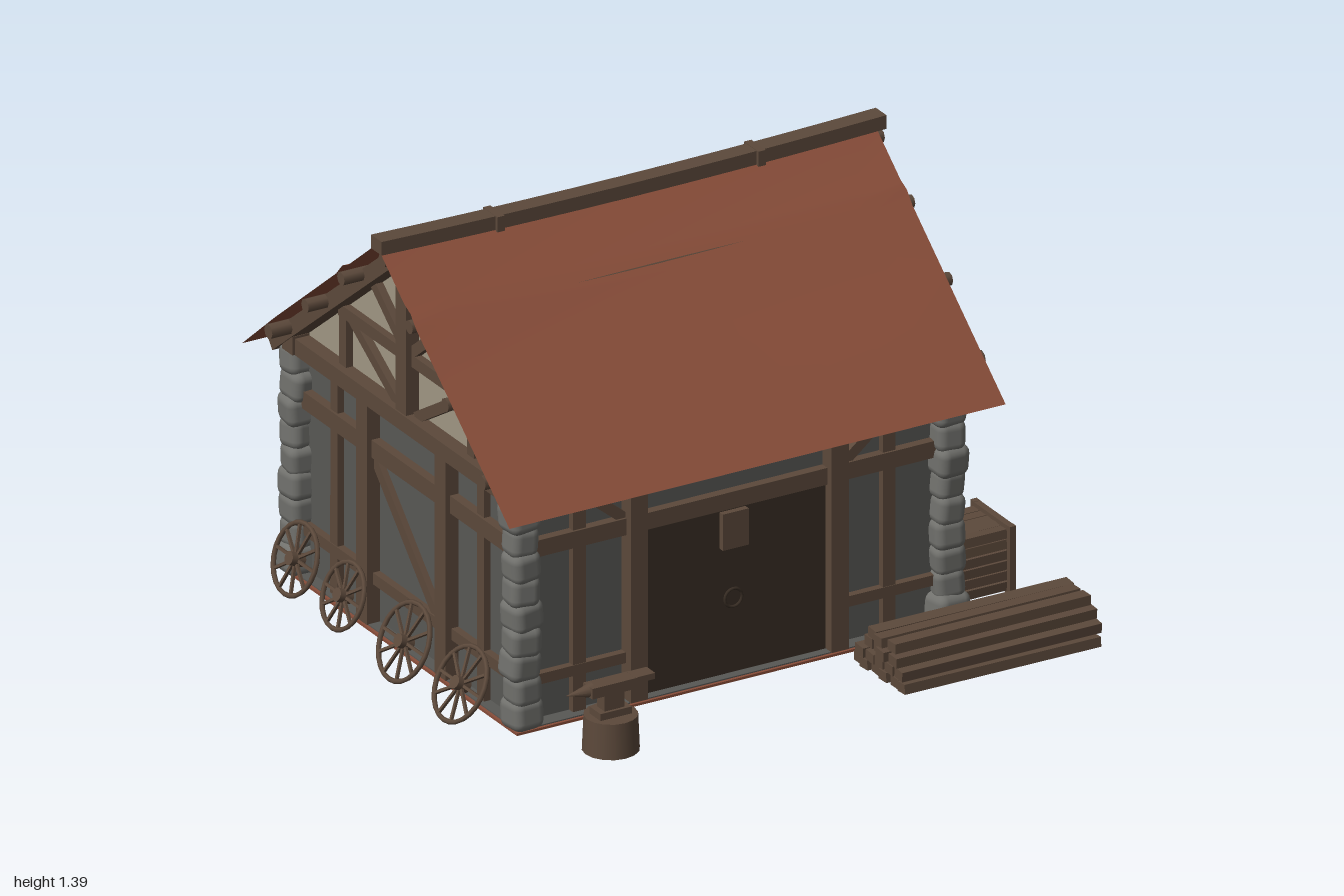
import * as THREE from 'three';
import { RoundedBoxGeometry } from 'three/addons/geometries/RoundedBoxGeometry.js';

const mat = (name, color, side = THREE.FrontSide) => {
  const m = new THREE.MeshStandardMaterial({ color, side });
  m.name = name;
  return m;
};
const V = (x, y, z) => new THREE.Vector3(x, y, z);

export function createModel() {
  const root = new THREE.Group();
  root.name = 'timberForge';
  const wood = mat('timber', 0x5c493b);
  const door = mat('darkDoorWood', 0x382d24);
  const stone = mat('cornerStone', 0x71716d);
  const wall = mat('wallStone', 0x585855);
  const plaster = mat('gablePlaster', 0xa09784);
  const tile = mat('roofTile', 0x884d39, THREE.DoubleSide);
  const patchMat = mat('roofPatch', 0x683c2d, THREE.DoubleSide);

  let seed = 7;
  const rnd = () => (seed = (seed * 16807) % 2147483647) / 2147483647;
  const jit = (a) => (rnd() - 0.5) * 2 * a;

  const add = (name, geo, m, x = 0, y = 0, z = 0, parent = root) => {
    const mesh = new THREE.Mesh(geo, m);
    mesh.name = name;
    mesh.position.set(x, y, z);
    parent.add(mesh);
    return mesh;
  };
  const box = (name, w, h, d, m, x, y, z, parent) => add(name, new THREE.BoxGeometry(w, h, d), m, x, y, z, parent);
  // Square timber running from a to b
  const beam = (name, a, b, w, h = w) => {
    const c = a.clone().add(b).multiplyScalar(0.5);
    box(name, w, h, a.distanceTo(b), wood, c.x, c.y, c.z).lookAt(b);
  };
  // Round timber along x
  const pole = (name, x0, x1, y, z, r) => {
    const g = new THREE.CylinderGeometry(r, r, x1 - x0, 8).rotateZ(Math.PI / 2);
    add(name, g, wood, (x0 + x1) / 2, y, z);
  };

  const XL = -0.79, XR = 0.66, ZF = 0.5, ZB = -0.77, ZR = -0.13;
  const xMid = (XL + XR) / 2, zMid = (ZF + ZB) / 2;
  // Height of the sagging roof at x, and at distance d from the ridge
  const roofY = (x, d) => 1.36 - (0.62 * d) / 0.78 + 0.015 * (((x + 0.055) / 0.865) ** 2 - 0.5) * (1 - d / 0.78);

  // Floor, walls and gables
  box('floor', 1.56, 0.008, 1.36, tile, -0.06, 0.004, -0.12);
  box('footing', 1.54, 0.006, 1.34, wall, -0.06, 0.009, -0.12);
  box('walls', XR - XL, 0.74, ZF - ZB, wall, xMid, 0.38, zMid);
  const outline = [[-0.64, 0.75], [0.64, 0.75], [0.64, 0.815], [0, 1.335], [-0.64, 0.815]];
  const gable = new THREE.ExtrudeGeometry(
    new THREE.Shape(outline.map((p) => new THREE.Vector2(...p))), { depth: XR - XL, bevelEnabled: false });
  add('gables', gable.rotateY(Math.PI / 2), plaster, XL, 0, ZR);

  // Stacked stone corners
  for (const x of [-0.8, 0.68]) for (const z of [0.515, -0.785]) {
    const n = 9, h = 0.735 / n;
    for (let i = 0; i < n; i++) {
      const w = (i === 0 ? 0.118 : 0.103) + jit(0.008);
      const s = add('cornerStone', new RoundedBoxGeometry(w, h + 0.022, w, 2, 0.03), stone,
        x + jit(0.006), 0.012 + h * (i + 0.5), z + jit(0.006));
      s.rotation.set(jit(0.1), jit(0.15), jit(0.1));
    }
  }

  // Front and back framing
  for (const [z, s] of [[ZF, 1], [ZB, -1]]) {
    for (const x of [-0.41, 0.29]) beam('mainPost', V(x, 0.01, z + s * 0.02), V(x, 0.75, z + s * 0.02), 0.06, 0.07);
    for (const x of [-0.6, 0.48]) beam('stud', V(x, 0.01, z), V(x, 0.75, z), 0.045);
    beam('topRail', V(-0.77, 0.585, z), V(0.65, 0.585, z), 0.06, 0.055);
    beam('wallPlate', V(-0.85, 0.77, z), V(0.73, 0.77, z), 0.06);
    const spans = s > 0 ? [[-0.77, -0.41], [0.29, 0.65]] : [[-0.77, 0.65]];
    for (const [a, b] of spans) beam('lowRail', V(a, 0.15, z), V(b, 0.15, z), 0.05, 0.035);
    beam('brace', V(-0.6, 0.74, z), V(-0.43, 0.6, z), 0.045, 0.035);
    beam('brace', V(0.48, 0.74, z), V(0.31, 0.6, z), 0.045, 0.035);
    for (const x of [-0.76, -0.42, -0.08, 0.29, 0.67])
      beam('joistEnd', V(x, 0.745, z - s * 0.05), V(x, 0.745, z + s * 0.09), 0.055, 0.045);
  }

  // Door with plate and ring handle
  box('door', 0.64, 0.55, 0.03, door, -0.06, 0.285, ZF + 0.005);
  box('doorPlate', 0.09, 0.12, 0.02, wood, -0.065, 0.49, ZF + 0.03);
  add('doorRing', new THREE.TorusGeometry(0.03, 0.005, 6, 16), door, -0.065, 0.26, ZF + 0.025);

  // Side framing and gable trusses
  for (const [x, s] of [[XR, 1], [XL, -1]]) {
    const xo = x + s * 0.015, xr = x + s * 0.03;
    for (const z of [0.1, -0.36]) beam('mainPost', V(xo, 0.01, z), V(xo, 0.75, z), 0.06, 0.065);
    for (const z of [0.3, -0.56]) beam('stud', V(x, 0.01, z), V(x, 0.75, z), 0.045, 0.042);
    beam('topRail', V(x, 0.59, 0.48), V(x, 0.59, -0.75), 0.06, 0.058);
    beam('lowRail', V(x, 0.16, 0.48), V(x, 0.16, -0.75), 0.05, 0.038);
    beam('brace', V(x, 0.17, 0.04), V(x, 0.56, -0.34), 0.04, 0.038);
    beam('tieBeam', V(xo, 0.765, 0.52), V(xo, 0.765, -0.84), 0.07, 0.055);
    beam('kingPost', V(xo, 0.78, ZR), V(xo, 1.33, ZR), 0.06, 0.06);
    beam('collar', V(x, 0.97, ZR - 0.4), V(x, 0.97, ZR + 0.4), 0.05, 0.04);
    for (const k of [1, -1]) {
      beam('rafter', V(xr, 0.735, ZR + k * 0.735), V(xr, 1.315, ZR), 0.07, 0.05);
      beam('gableStud', V(x, 0.78, ZR + k * 0.375), V(x, 0.98, ZR + k * 0.375), 0.05, 0.04);
      beam('lowerStrut', V(x, 0.79, ZR + k * 0.05), V(x, 0.97, ZR + k * 0.34), 0.05, 0.035);
      beam('upperStrut', V(x, 0.99, ZR + k * 0.02), V(x, 1.15, ZR + k * 0.22), 0.05, 0.035);
    }
  }

  // Sagging roof sheets, creased over the upper purlin; the back eave dips a little lower
  const rows = [0, 0.165, 0.2, 0.235, 0.4, 0.6, 0.78];
  for (const k of [1, -1]) {
    const g = new THREE.PlaneGeometry(1.73, 1, 10, rows.length - 1);
    const p = g.attributes.position;
    for (let i = 0; i < p.count; i++) {
      const x = p.getX(i) - 0.055, d = rows[Math.floor(i / 11)];
      const lip = k < 0 && d === 0.78 ? 0.008 : 0;
      p.setXYZ(i, x, roofY(x, d + lip) + (d === 0.2 ? 0.012 : 0) - lip, ZR + k * (d + lip));
    }
    if (k < 0) g.index.array.reverse();
    g.computeVertexNormals();
    add(k > 0 ? 'frontRoof' : 'backRoof', g, tile);
    // Purlins with ends past the roof edges
    for (const [d, r] of [[0.2, 0.022], [0.41, 0.022], [0.625, 0.024]])
      pole('purlin', -0.925, 0.825 + jit(0.01), roofY(0, d) - r * (d === 0.2 ? 0.9 : 1.3), ZR + k * d, r);
  }

  // Worn patch on the back slope, with a gap along its upper edge
  const sheet = (name, m, pts) => {
    const g = new THREE.BufferGeometry();
    const pos = pts.flatMap(([x, z]) => [x, roofY(x, ZR - z) + 0.009, z]);
    g.setAttribute('position', new THREE.Float32BufferAttribute(pos, 3));
    g.setIndex(pts.length > 3 ? [0, 2, 1, 0, 3, 2] : [0, 2, 1]);
    g.computeVertexNormals();
    add(name, g, m);
  };
  sheet('roofPatch', patchMat, [[-0.46, -0.71], [0.27, -0.66], [0.39, -0.355], [-0.58, -0.355]]);
  sheet('roofGap', patchMat, [[-0.59, -0.31], [0.4, -0.315], [-0.6, -0.27]]);

  // Ridge beam, bowed in the middle, with bands
  const ridge = new THREE.BoxGeometry(1.76, 0.045, 0.062, 10);
  const rp = ridge.attributes.position;
  for (let i = 0; i < rp.count; i++) rp.setY(i, rp.getY(i) + 0.014 * (rp.getX(i) / 0.88) ** 2);
  ridge.computeVertexNormals();
  add('ridgeBeam', ridge, wood, -0.04, 1.352, ZR);
  for (const x of [-0.51, 0.4]) box('ridgeBand', 0.025, 0.05, 0.085, wood, x, 1.355, ZR);
  pole('ridgePole', -0.9, 0.84, 1.31, ZR, 0.022);

  // Cart wheels leaning on the left wall
  for (const [z, r, x, tilt] of [[-0.63, 0.12, -0.905, 0.36], [-0.35, 0.112, -0.905, 0.4],
    [0.05, 0.13, -0.93, 0.45], [0.38, 0.127, -0.93, 0.52]]) {
    const lean = new THREE.Group();
    lean.name = 'cartWheel';
    lean.rotation.z = -tilt;
    lean.position.set(x, r * Math.cos(tilt) + 0.012, z);
    root.add(lean);
    const wheel = new THREE.Group();
    wheel.name = 'wheelParts';
    wheel.rotation.y = Math.PI / 2;
    lean.add(wheel);
    add('rim', new THREE.TorusGeometry(r - 0.008, 0.008, 6, 24), wood, 0, 0, 0, wheel);
    add('hub', new THREE.CylinderGeometry(0.022, 0.022, 0.05, 10).rotateX(Math.PI / 2), wood, 0, 0, 0, wheel);
    for (let i = 0; i < 5; i++)
      box('spoke', 2 * r - 0.02, 0.009, 0.009, wood, 0, 0, 0, wheel).rotation.z = (i * Math.PI) / 5;
  }

  // Anvil on its stump
  const anvil = new THREE.Group();
  anvil.name = 'anvil';
  anvil.position.set(-0.65, 0, 0.79);
  root.add(anvil);
  add('stump', new THREE.CylinderGeometry(0.083, 0.088, 0.115, 16), wood, 0, 0.065, 0, anvil);
  box('anvilFoot', 0.11, 0.025, 0.065, wood, 0, 0.133, 0, anvil);
  box('anvilWaist', 0.07, 0.06, 0.045, wood, 0, 0.17, 0, anvil);
  box('anvilBody', 0.16, 0.035, 0.055, wood, 0, 0.215, 0, anvil);
  box('anvilHeel', 0.07, 0.02, 0.05, wood, 0.105, 0.223, 0, anvil);
  add('anvilHorn', new THREE.ConeGeometry(0.024, 0.09, 10).rotateZ(Math.PI / 2), wood, -0.112, 0.216, 0, anvil);

  // Pile of sawn timbers
  for (let row = 0; row < 4; row++) {
    const n = 6 - row;
    for (let i = 0; i < n; i++) {
      const b = box('pileTimber', 0.69 + jit(0.012), 0.032, 0.046, wood,
        0.64 + jit(0.01), 0.024 + row * 0.035, 0.772 + (i - (n - 1) / 2) * 0.052 + jit(0.004));
      b.rotation.set(jit(0.08), jit(0.012), 0);
    }
  }

  // Firewood rack on the right side
  for (let row = 0; row < 6; row++) for (let i = 0; i < 5; i++) {
    const l = box('firewood', 0.21 + jit(0.015), 0.03, 0.037, wood, 0.835, 0.03 + row * 0.034, 0.35 + (i - 2) * 0.04);
    l.rotation.x = jit(0.1);
  }
  for (const x of [0.74, 0.945]) {
    for (const z of [0.245, 0.455]) beam('rackPost', V(x, 0.005, z), V(x, 0.23, z), 0.022);
    for (const y of [0.015, 0.22]) beam('rackBar', V(x, y, 0.24), V(x, y, 0.46), 0.022, 0.018);
  }
  return root;
}
